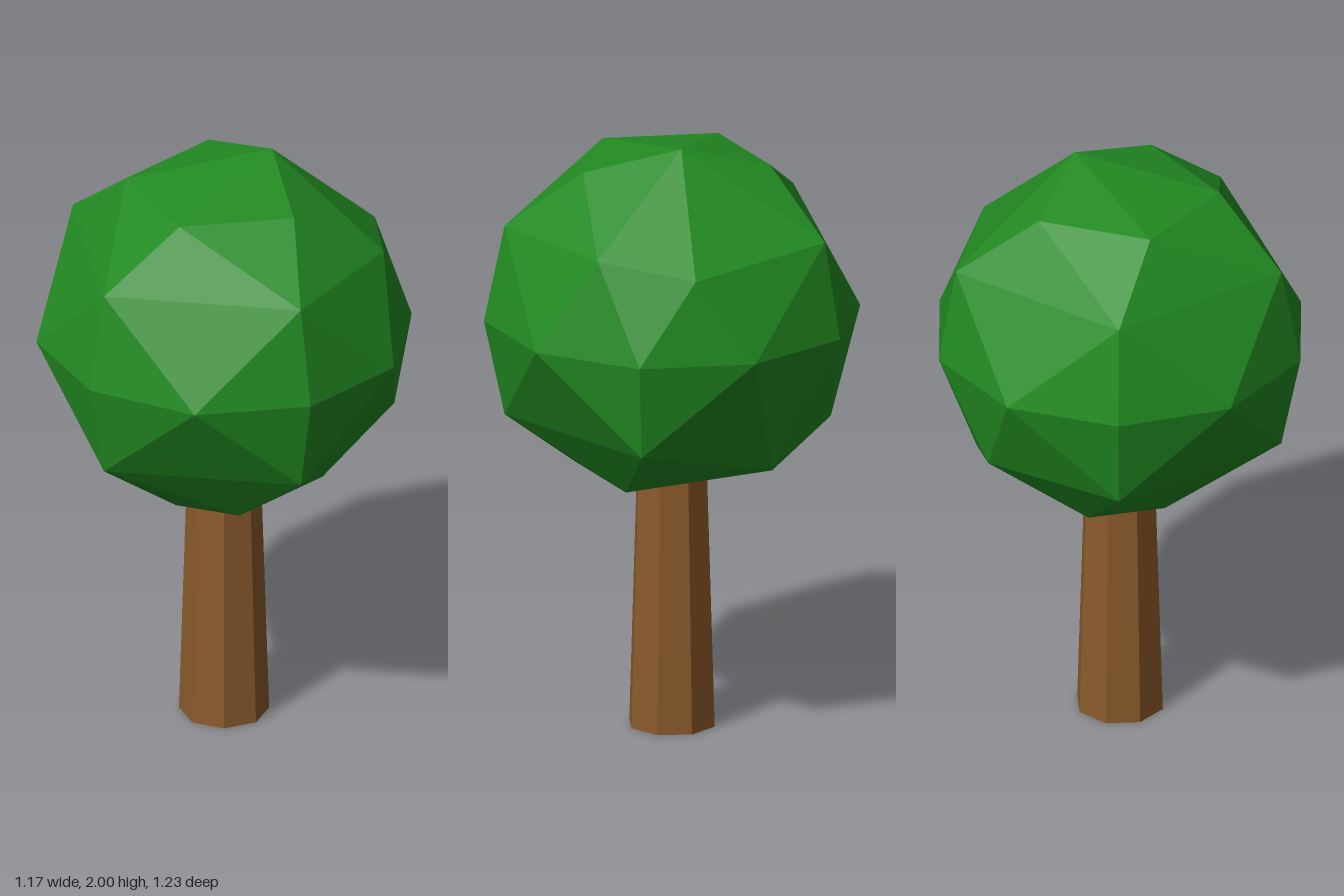
import * as THREE from 'three';
import { ConvexGeometry } from 'three/addons/geometries/ConvexGeometry.js';

const CROWN_Y = 1.39;
const CROWN_R = 0.615;

// Faceted crown: the hull of a slightly irregular geodesic ball
function crownGeometry() {
  const points = [
    // top and upper ring
    [0.05, 0.61, -0.17], [-0.26, 0.52, -0.19], [-0.26, 0.52, 0.19], [0.1, 0.52, 0.305], [0.32, 0.52, 0],
    // upper shoulder
    [0, 0.32, 0.55], [0.52, 0.32, 0.17], [-0.52, 0.32, 0.17], [-0.33, 0.32, -0.45],
    [0.42, 0.32, -0.31], [0.17, 0.275, -0.52],
    // lower shoulder
    [0, -0.32, 0.55], [0.52, -0.32, 0.17], [-0.52, -0.32, 0.17], [0.33, -0.32, -0.45],
    [-0.42, -0.32, -0.31], [-0.145, -0.43, -0.44],
    // lower ring and bottom
    [-0.325, -0.52, 0], [0.26, -0.52, 0.19], [0.26, -0.52, -0.19], [-0.05, -0.605, 0.17],
  ].map((p) => new THREE.Vector3(...p));

  // regular ten-sided equator
  for (let i = 0; i < 10; i++) {
    const a = (i / 10) * Math.PI * 2;
    points.push(new THREE.Vector3(Math.sin(a) * CROWN_R, 0, Math.cos(a) * CROWN_R));
  }
  return new ConvexGeometry(points);
}

export function createModel() {
  const tree = new THREE.Group();
  tree.name = 'tree';

  // Tapered eight-sided trunk, its top hidden inside the crown
  const trunkHeight = 0.95;
  const trunk = new THREE.Mesh(
    new THREE.CylinderGeometry(0.117, 0.146, trunkHeight, 8),
    new THREE.MeshStandardMaterial({ color: 0x8b5a2b, flatShading: true })
  );
  trunk.name = 'trunk';
  trunk.position.y = trunkHeight / 2;

  const crown = new THREE.Mesh(
    crownGeometry(),
    new THREE.MeshStandardMaterial({ color: 0x228b22, flatShading: true })
  );
  crown.name = 'crown';
  crown.position.y = CROWN_Y;

  tree.add(trunk, crown);
  return tree;
}
